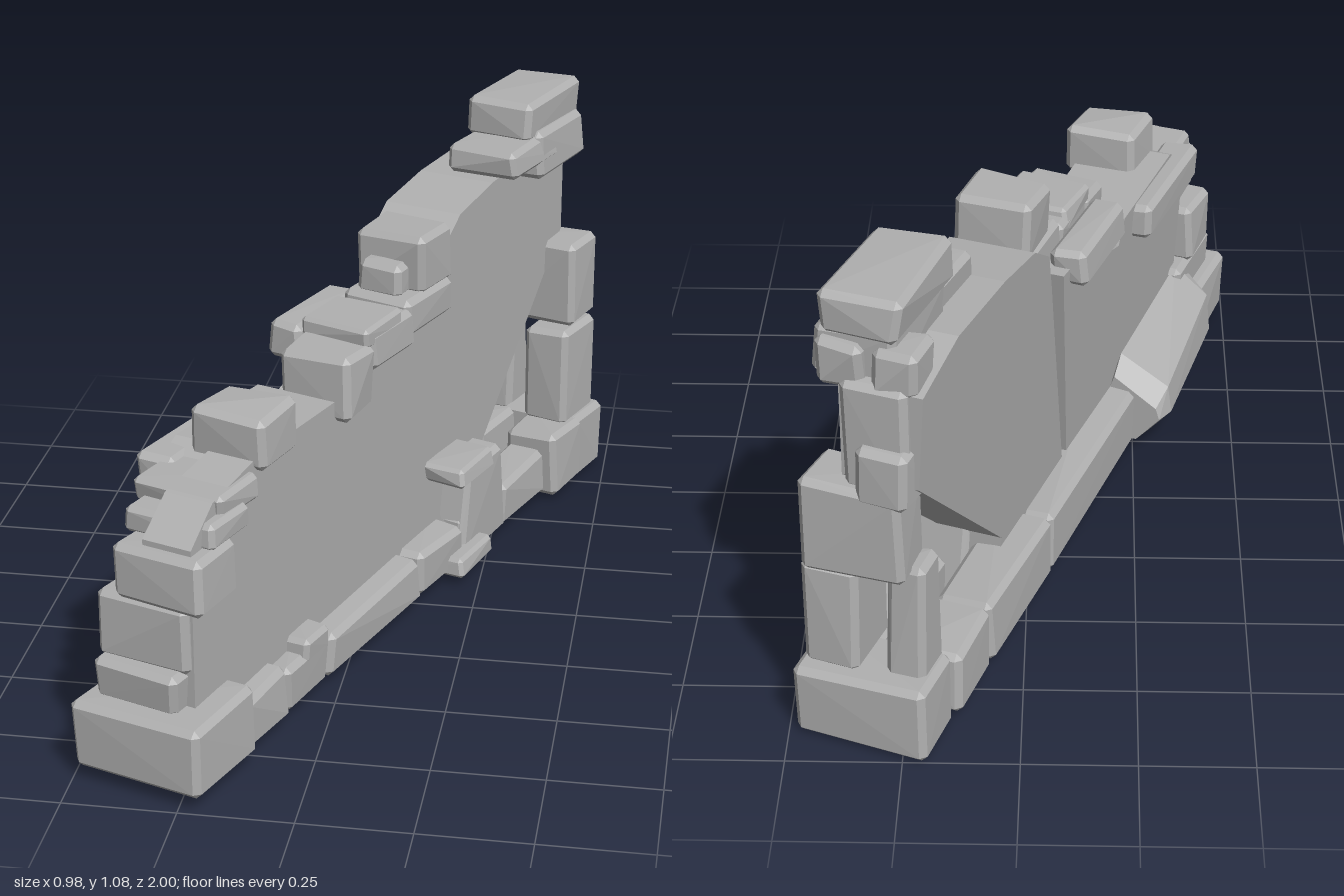
import * as THREE from 'three';
import { ConvexGeometry } from 'three/addons/geometries/ConvexGeometry.js';

const stoneGrey = new THREE.MeshStandardMaterial({ color: 0xb0b0b0 });
stoneGrey.name = 'stoneGrey';

// small seeded generator for hand-cut irregularity
function seeded(seed) {
  return () => {
    seed = (seed * 16807) % 2147483647;
    return seed / 2147483647 - 0.5;
  };
}

// chamfered stone: every box corner is split in three; taper narrows the top along the wall
function stoneGeometry(rand, [x0, x1], [y0, y1], [z0, z1], taper) {
  const size = [x1 - x0, y1 - y0, z1 - z0];
  const mid = [(x0 + x1) / 2, (y0 + y1) / 2, (z0 + z1) / 2];
  const bevel = Math.min(0.014, Math.min(...size) * 0.18);
  const points = [];
  for (const sx of [-1, 1]) for (const sy of [-1, 1]) for (const sz of [-1, 1]) {
    const sign = [sx, sy, sz];
    const drift = size.map((s) => rand() * Math.min(0.012, s * 0.1));
    if (sy < 0) drift[1] = 0;
    for (let flush = 0; flush < 3; flush++) {
      const p = sign.map((d, i) =>
        mid[i] + d * (size[i] / 2 - (i === flush ? 0 : bevel)) + drift[i]);
      if (sy > 0) p[2] = mid[2] + (p[2] - mid[2]) * (1 - taper);
      points.push(new THREE.Vector3(...p));
    }
  }
  return new ConvexGeometry(points);
}

// slab of wall from an outline of [along, up] points, its two faces leaned by a rule
function slabGeometry(outline, front, back, rule) {
  const shape = new THREE.Shape(outline.map(([s, y]) => new THREE.Vector2(s, y)));
  const g = new THREE.ExtrudeGeometry(shape, { depth: front - back, bevelEnabled: false });
  g.rotateY(-Math.PI / 2);
  g.translate(front, 0, 0);
  const p = g.attributes.position;
  for (let i = 0; i < p.count; i++) p.setX(i, rule(p.getX(i), p.getY(i), p.getZ(i)));
  g.computeVertexNormals();
  return g;
}

export function createModel() {
  const model = new THREE.Group();
  model.name = 'ruinedWall';
  const wall = new THREE.Group();
  wall.name = 'wall';
  wall.rotation.y = -0.345;
  model.add(wall);

  const rand = seeded(4711);
  const add = (name, geometry) => {
    const mesh = new THREE.Mesh(geometry, stoneGrey);
    mesh.name = name;
    wall.add(mesh);
  };
  // stone from its spans across, up and along the wall
  const stone = (name, across, up, along, taper = 0) =>
    add(name, stoneGeometry(rand, across, up, along, taper));
  // row of stones between successive cuts along the wall
  const course = (name, across, cuts, top) => {
    for (let i = 1; i < cuts.length; i++) {
      stone(name, across, [0.02, top + rand() * 0.02], [cuts[i - 1], cuts[i]]);
    }
  };

  // broken wall: one face panel, and a rear layer split by a narrow crevice
  const lowEdge = [[0.63, 0.66], [0.29, 0.65], [0.26, 0.59], [0.155, 0.62], [0.145, 0.7]];
  const highEdge = [
    [-0.22, 0.74], [-0.25, 0.83], [-0.345, 0.89], [-0.525, 0.915], [-0.78, 0.925],
    [-0.96, 0.88], [-0.96, 0.66], [-0.45, 0.2], [-0.45, 0.04],
  ];
  const lowEnd = [[0.92, 0.04], [0.92, 0.56], [0.83, 0.63]];
  const faceLean = (x, y, z) => (x > 0 ? 0.065 + 0.025 * z : x);
  const rearLean = (x, y) => (x < -0.05 ? -0.09 - 0.06 * y : x);
  add('facePanel', slabGeometry([...lowEnd, ...lowEdge, ...highEdge], 0.07, -0.03, faceLean));
  add('rearPanelLow', slabGeometry(
    [[0.76, 0.05], [0.76, 0.6], ...lowEdge, [-0.14, 0.72], [0, 0.05]], -0.02, -0.12, rearLean));
  add('rearPanelTall', slabGeometry([[-0.02, 0.05], ...highEdge], -0.02, -0.12, rearLean));

  // base: corners, then a course along each side
  stone('frontCorner', [-0.165, 0.15], [0.03, 0.19], [0.77, 1.015]);
  stone('rearCorner', [-0.15, 0.155], [0, 0.18], [-1.015, -0.85]);
  stone('rearCornerStone', [0.01, 0.155], [0.01, 0.18], [-0.88, -0.71]);
  course('faceBaseStone', [0.02, 0.125], [-0.72, -0.47, -0.25, -0.03, 0.41, 0.6, 0.78], 0.14);
  course('rearBaseStone', [-0.165, -0.03], [-0.86, -0.67, -0.3, 0.3], 0.17);
  stone('baseWedge', [-0.02, 0.13], [0.02, 0.265], [-0.49, -0.23], 0.35);

  // stones jutting from the face
  for (const y of [0.02, 0.26]) stone('juttingStone', [0.05, 0.165], [y, y + 0.05], [-0.34, -0.17]);
  stone('juttingStone', [0.03, 0.13], [0.11, 0.17], [0.42, 0.53]);

  // low end column, each stone set back over the last: [across centre, up, along centre]
  stone('lowEndFooting', [-0.14, 0.07], [0.18, 0.28], [0.72, 0.97]);
  for (const [x, up, z] of [
    [-0.03, [0.27, 0.425], 0.865], [0.015, [0.42, 0.55], 0.87],
    [0.005, [0.54, 0.6], 0.8], [-0.01, [0.58, 0.64], 0.74],
  ]) {
    stone('lowEndStone', [x - 0.11, x + 0.11], up, [z - 0.075, z + 0.075]);
  }

  // stones along the broken top edge: [up, along]
  for (const [up, along] of [
    [[0.63, 0.75], [0.51, 0.66]], [[0.6, 0.75], [0.16, 0.29]],
    [[0.74, 0.79], [0.03, 0.19]], [[0.68, 0.77], [-0.02, 0.17]], [[0.7, 0.79], [-0.21, 0]],
    [[0.78, 0.92], [-0.22, -0.07]], [[0.92, 0.99], [-0.78, -0.54]], [[0.88, 1], [-0.95, -0.68]],
  ]) {
    stone('topStone', [-0.075, 0.105], up, along);
  }
  stone('topInset', [-0.05, 0.06], [0.78, 0.86], [-0.12, -0.02]);
  stone('peakCap', [-0.09, 0.085], [0.98, 1.08], [-0.955, -0.655]);
  for (const x of [-0.13, -0.01]) stone('peakSideStone', [x, x + 0.1], [0.87, 0.975], [-0.97, -0.86]);

  // ledges under the top edge at the rear
  stone('rearLedge', [-0.17, -0.08], [0.67, 0.76], [-0.1, 0.18]);
  stone('rearLedge', [-0.17, -0.08], [0.56, 0.65], [0.36, 0.73]);

  // tall end column, standing on two legs
  stone('tallEndTop', [-0.11, 0.03], [0.64, 0.9], [-0.98, -0.87]);
  stone('tallEndSide', [-0.12, 0], [0.62, 0.76], [-1, -0.88]);
  stone('tallEndBlock', [-0.1, 0.13], [0.43, 0.65], [-1, -0.86]);
  stone('tallEndLeg', [0.01, 0.135], [0.17, 0.43], [-0.98, -0.81]);
  stone('tallEndLeg', [-0.13, -0.04], [0.16, 0.45], [-0.96, -0.85], 0.2);

  // large fallen block with a sloping top, lofted along the rear base
  const block = [];
  for (const [z, out, top] of [[0.29, -0.23, 0.2], [0.34, -0.245, 0.24], [0.76, -0.21, 0.27], [0.82, -0.18, 0.24]]) {
    for (const [x, y] of [[out + 0.06, 0.03], [out, 0.1], [out + 0.01, top - 0.07], [-0.11, top], [-0.05, 0.03]]) {
      block.push(new THREE.Vector3(x, y, z));
    }
  }
  add('fallenBlock', new ConvexGeometry(block));

  return model;
}
